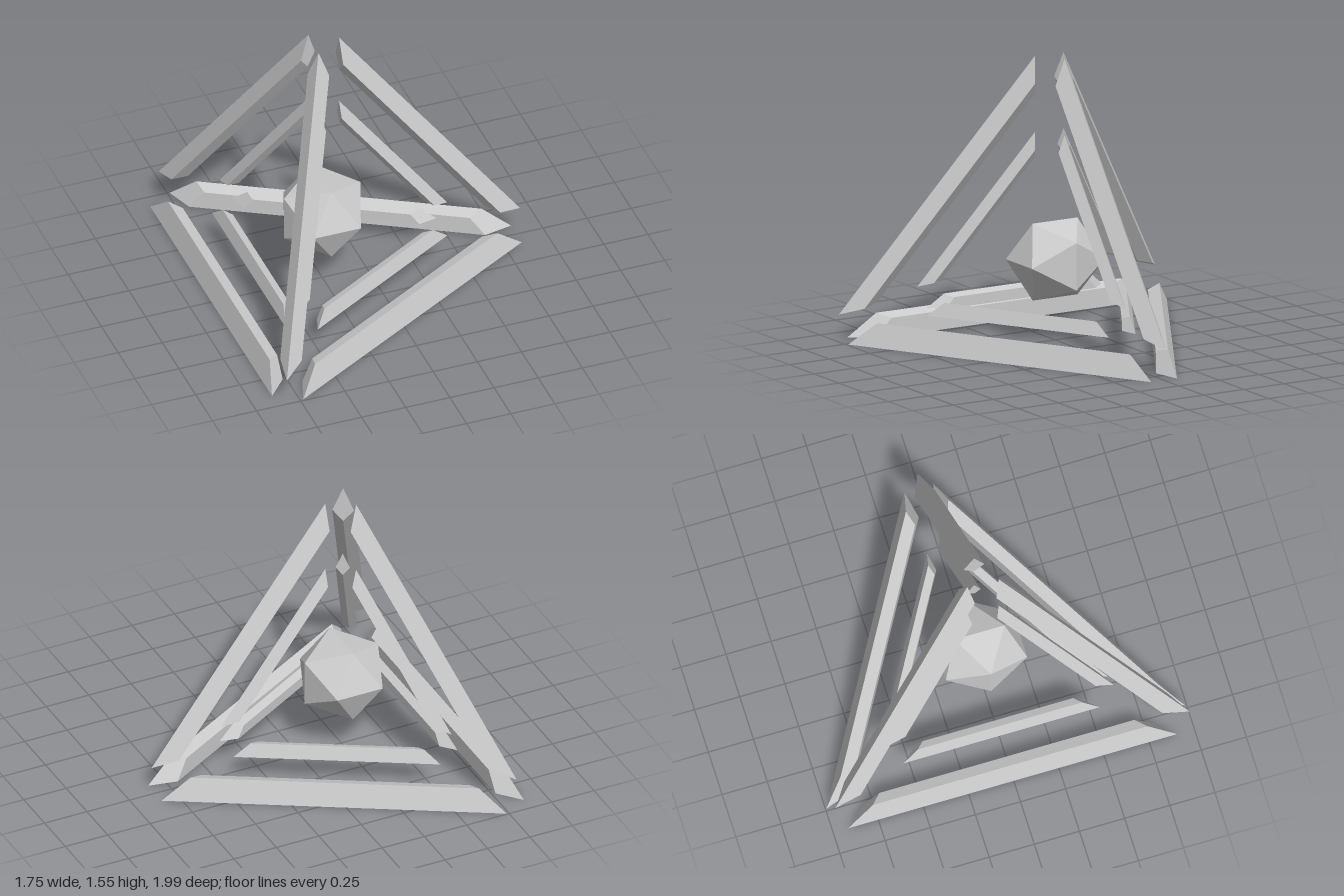
import * as THREE from 'three';

const CENTRE = new THREE.Vector3(-0.25, 0.44, 0);
const HALF_ANGLE = Math.acos(1 / 3) / 2; // half the angle between two faces of a tetrahedron
const BEVEL = 1.4;                       // how far the ends slope in per unit of depth

const material = new THREE.MeshStandardMaterial({ color: 0xcccccc, flatShading: true });

// Mitred bar along one tetrahedron edge: its ridge runs from start to end,
// and its kite-shaped section (face widths l1, l2) points at the centre.
function bar(name, start, end, l1, l2) {
  const p = new THREE.Vector3(...start), q = new THREE.Vector3(...end);
  const e = q.clone().sub(p).normalize();
  const w = CENTRE.clone().sub(p.clone().add(q).multiplyScalar(0.5));
  w.addScaledVector(e, -w.dot(e)).normalize();
  const n = e.clone().cross(w);
  const cos = Math.cos(HALF_ANGLE), sin = Math.sin(HALF_ANGLE);

  // Section corners as [depth, side]; the inner corner is square to both faces
  const section = [
    [0, 0],
    [l2 * cos, -l2 * sin],
    [(l1 + l2) / (2 * cos), (l1 - l2) / (2 * sin)],
    [l1 * cos, l1 * sin],
  ];
  const ring = (origin, dir) => section.map(([d, s]) => origin.clone()
    .addScaledVector(w, d).addScaledVector(n, s).addScaledVector(e, dir * BEVEL * d));
  const a = ring(p, 1), b = ring(q, -1);

  const points = [];
  const quad = (i, j, k, l) => points.push(i, j, k, i, k, l);
  for (let i = 0; i < 4; i++) {
    const j = (i + 1) % 4;
    quad(a[i], a[j], b[j], b[i]);
  }
  quad(b[0], b[1], b[2], b[3]);
  quad(a[3], a[2], a[1], a[0]);

  const geometry = new THREE.BufferGeometry().setFromPoints(points);
  geometry.computeVertexNormals();
  const mesh = new THREE.Mesh(geometry, material);
  mesh.name = name;
  return mesh;
}

// Ridge ends of each bar; base bars circle the centre, uprights run from the top down
const FRAMES = {
  outer: {
    base: {
      widths: [0.132, 0.107],
      left: [[-0.877, 0, -0.917], [-0.877, 0, 0.905]],
      front: [[-0.732, 0, 0.99], [0.85, 0, 0.08]],
      back: [[0.85, 0, -0.08], [-0.738, 0, -0.996]],
    },
    upright: {
      widths: [0.1, 0.1],
      right: [[-0.155, 1.547, 0], [0.87, 0.165, 0]],
      front: [[-0.305, 1.547, 0.09], [-0.825, 0.145, 0.99]],
      back: [[-0.298, 1.547, -0.081], [-0.81, 0.178, -0.967]],
    },
  },
  inner: {
    base: {
      widths: [0.078, 0.069],
      left: [[-0.667, 0.157, -0.547], [-0.667, 0.157, 0.54]],
      front: [[-0.515, 0.157, 0.633], [0.427, 0.157, 0.084]],
      back: [[0.427, 0.157, -0.083], [-0.526, 0.157, -0.631]],
    },
    upright: {
      widths: [0.066, 0.066],
      right: [[-0.155, 1.132, 0], [0.458, 0.308, 0]],
      front: [[-0.303, 1.134, 0.091], [-0.615, 0.294, 0.632]],
      back: [[-0.297, 1.134, -0.081], [-0.602, 0.312, -0.609]],
    },
  },
};

export function createModel() {
  const model = new THREE.Group();
  model.name = 'tetrahedronFrame';

  // Two nested open frames
  for (const [frameName, frame] of Object.entries(FRAMES)) {
    const group = new THREE.Group();
    group.name = frameName + 'Frame';
    for (const [kind, { widths, ...bars }] of Object.entries(frame)) {
      for (const [place, [start, end]] of Object.entries(bars)) {
        group.add(bar(`${place} ${kind} bar`, start, end, ...widths));
      }
    }
    model.add(group);
  }

  // Floating core
  const core = new THREE.Mesh(
    new THREE.IcosahedronGeometry(1, 0).rotateY(Math.PI / 2).scale(0.254, 0.246, 0.265),
    material,
  );
  core.name = 'core';
  core.position.copy(CENTRE);
  model.add(core);

  return model;
}
